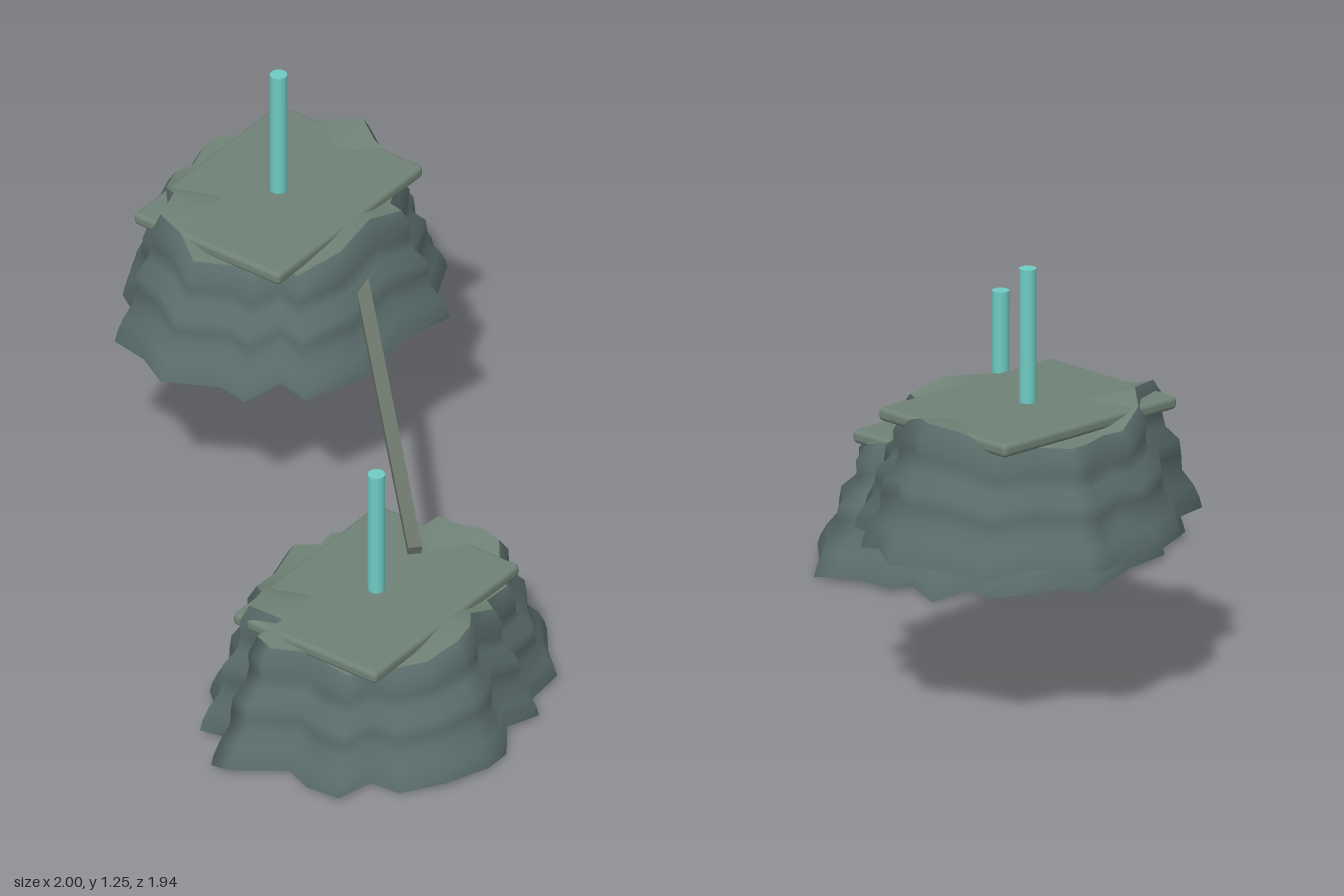
import * as THREE from 'three';
import { RoundedBoxGeometry } from 'three/addons/geometries/RoundedBoxGeometry.js';

// Ground outlines as [x, z], running from +x round towards +z
const LOWER = [
  [0.08, 0.51], [0.13, 0.59], [0.13, 0.67], [0.03, 0.75], [-0.06, 0.85], [-0.19, 0.85], [-0.24, 0.92],
  [-0.35, 0.89], [-0.44, 0.955], [-0.535, 0.965], [-0.68, 0.92], [-0.78, 0.83], [-0.8, 0.74],
  [-0.925, 0.72], [-0.915, 0.6], [-0.89, 0.52], [-1, 0.385], [-0.99, 0.315], [-0.85, 0.335],
  [-0.89, 0.2], [-0.77, 0.17], [-0.71, 0.1], [-0.53, 0.06], [-0.33, 0], [-0.27, 0.08],
  [-0.17, 0.07], [-0.13, 0.15], [-0.06, 0.15], [-0.06, 0.23], [0.06, 0.26], [0.015, 0.385], [0.09, 0.4],
];
const UPPER = [
  [0.995, -0.52], [0.925, -0.41], [0.91, -0.32], [0.82, -0.3], [0.83, -0.21], [0.67, -0.14],
  [0.64, -0.06], [0.47, -0.09], [0.26, -0.08], [0.06, -0.14], [0.08, -0.24], [-0.04, -0.28],
  [-0.03, -0.37], [-0.12, -0.52], [-0.04, -0.64], [-0.03, -0.75], [0.11, -0.79], [0.18, -0.88],
  [0.34, -0.955], [0.43, -0.935], [0.56, -0.975], [0.64, -0.975], [0.74, -0.86], [0.89, -0.81], [0.93, -0.65],
];
// Wall profile as [height fraction, radius fraction]
const PROFILE = [
  [0, 1], [0.08, 0.985], [0.18, 0.95], [0.3, 0.885], [0.42, 0.88], [0.53, 0.87],
  [0.64, 0.79], [0.75, 0.77], [0.88, 0.775], [1, 0.72],
];
const TOP = PROFILE[PROFILE.length - 1][1];

// Rim height: three humps, at +x, +z and the back left corner
function rimHeight(x, z) {
  const angle = Math.atan2(z, x);
  let y = 0.34;
  for (const [at, height] of [[0, 0.06], [1.57, 0.05], [-2.53, 0.075]]) {
    const d = Math.atan2(Math.sin(angle - at), Math.cos(angle - at));
    y += height * Math.exp(-((d / 0.42) ** 2));
  }
  return y;
}

// Joins closed rings of vertices, bottom ring first
function ringSurface(rings) {
  const n = rings[0].length;
  const index = [];
  for (let j = 0; j < rings.length - 1; j++) {
    for (let i = 0; i < n; i++) {
      const k = (i + 1) % n;
      const a = j * n + i, b = j * n + k, c = a + n, d = b + n;
      index.push(a, c, b, b, c, d);
    }
  }
  const geometry = new THREE.BufferGeometry();
  geometry.setAttribute('position', new THREE.Float32BufferAttribute(rings.flat(2), 3));
  geometry.setIndex(index);
  geometry.computeVertexNormals();
  return geometry;
}

export function createModel() {
  const rock = new THREE.MeshStandardMaterial({ color: 0x5a6d6b, side: THREE.DoubleSide });
  const moss = new THREE.MeshStandardMaterial({ color: 0x6f8276, side: THREE.DoubleSide });
  const timber = new THREE.MeshStandardMaterial({ color: 0x697266 });
  const turquoise = new THREE.MeshStandardMaterial({ color: 0x6ecbc3 });
  rock.name = 'rock';
  moss.name = 'moss';
  timber.name = 'timber';
  turquoise.name = 'turquoise';

  const model = new THREE.Group();
  model.name = 'linkedIslands';

  function add(parent, name, geometry, material, x = 0, y = 0, z = 0) {
    const mesh = new THREE.Mesh(geometry, material);
    mesh.name = name;
    mesh.position.set(x, y, z);
    parent.add(mesh);
    return mesh;
  }

  function addIsland(name, outline, cx, y0, cz, slabDepth) {
    const island = new THREE.Group();
    island.name = name;
    island.position.set(cx, y0, cz);
    const points = outline.map(([x, z]) => [x - cx, z - cz]);

    // Hollow rock wall with a wavy foot and rim
    const wall = PROFILE.map(([t, r]) => points.map(([x, z], i) => {
      const foot = 0.01 + 0.01 * Math.sin(i * 2.1);
      return [x * r, foot + t * (rimHeight(x, z) - foot), z * r];
    }));
    add(island, 'rockWall', ringSurface(wall), rock);

    // Mossy cap sinking from the rim to the middle
    const cap = [1, 0.75, 0.4, 0].map((s) => points.map(([x, z]) =>
      [x * TOP * s, 0.335 + (rimHeight(x, z) - 0.335) * s, z * TOP * s]));
    add(island, 'cap', ringSurface(cap), moss);

    // Flat platform and the pole standing on it
    add(island, 'platform', new RoundedBoxGeometry(0.69, 0.04, slabDepth, 3, 0.015), moss, 0, 0.357, 0);
    add(island, 'pole', new THREE.CylinderGeometry(0.025, 0.025, 0.405, 16), turquoise, 0, 0.5725, 0);
    model.add(island);
  }

  addIsland('lowerIsland', LOWER, -0.435, 0, 0.487, 0.51);
  addIsland('upperIsland', UPPER, 0.438, 0.48, -0.518, 0.52);

  // Sloping beam from the lower platform into the upper island
  const start = new THREE.Vector3(-0.25, 0.405, 0.485);
  const end = new THREE.Vector3(0.53, 0.77, -0.335);
  const beam = add(model, 'beam', new THREE.BoxGeometry(0.04, 0.03, start.distanceTo(end)), timber);
  beam.position.copy(start).lerp(end, 0.5);
  beam.lookAt(end);

  return model;
}
